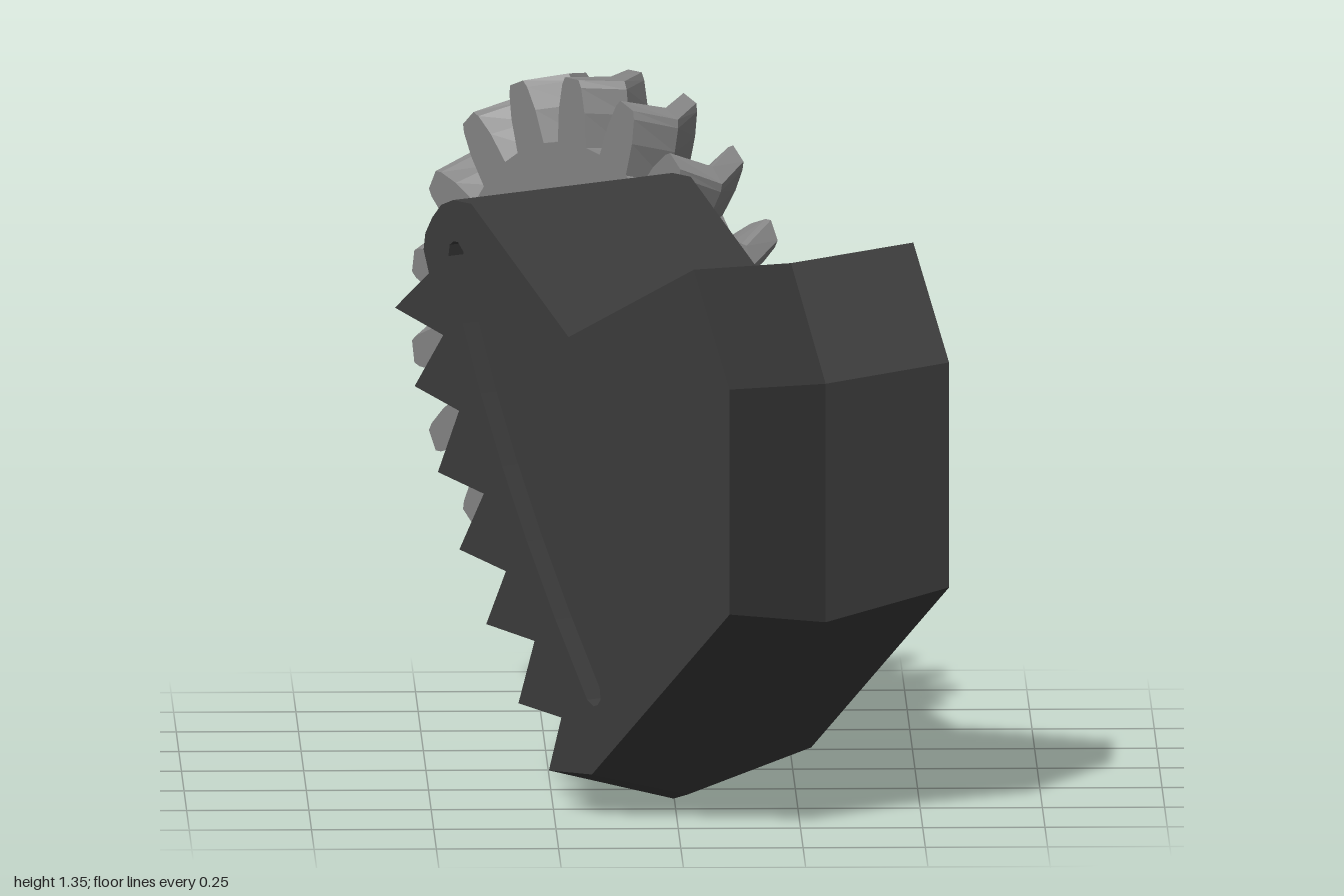
import * as THREE from 'three';

const V = (x, y) => new THREE.Vector2(x, y);

// Regular ring of points around (x, y)
function ring(x, y, r, n) {
  return Array.from({ length: n }, (_, i) => {
    const a = (i / n) * Math.PI * 2;
    return V(x + r * Math.cos(a), y + r * Math.sin(a));
  });
}

// Flat-shaded solid lofted through matching outlines along z, with straight through holes.
// Outlines run counter-clockwise, depths ascend.
function loft(name, outlines, depths, holes, material) {
  const pos = [];
  const put = (p, z) => pos.push(p.x, p.y, z);
  const wall = (a, za, b, zb) => {
    for (let i = 0; i < a.length; i++) {
      const j = (i + 1) % a.length;
      put(a[i], za); put(a[j], za); put(b[j], zb);
      put(a[i], za); put(b[j], zb); put(b[i], zb);
    }
  };
  for (let s = 0; s + 1 < outlines.length; s++) {
    wall(outlines[s], depths[s], outlines[s + 1], depths[s + 1]);
  }
  const last = outlines.length - 1;
  const inner = holes.map((h) => h.slice().reverse());
  inner.forEach((h) => wall(h, depths[0], h, depths[last]));
  // End caps
  for (const [s, flip] of [[0, true], [last, false]]) {
    const all = [outlines[s], ...inner].flat();
    for (const [a, b, c] of THREE.ShapeUtils.triangulateShape(outlines[s].slice(), inner)) {
      for (const k of flip ? [a, c, b] : [a, b, c]) put(all[k], depths[s]);
    }
  }
  const g = new THREE.BufferGeometry();
  g.setAttribute('position', new THREE.Float32BufferAttribute(pos, 3));
  g.computeVertexNormals();
  const mesh = new THREE.Mesh(g, material);
  mesh.name = name;
  return mesh;
}

// Jaw outline; mid = true gives the middle section where the chevrons peak
function jawOutline(mid) {
  const front = mid
    ? [[0.345, 0.015], [0.806, 0.431], [0.806, 0.925], [0.69, 1.16]]
    : [[0.39, 0.09], [0.852, 0.481], [0.852, 0.947], [0.732, 1.18]];
  const top = [[0.312, 0.986], [-0.014, 1.22], [-0.075, 1.22], [-0.115, 1.205],
    [-0.145, 1.175], [-0.168, 1.14], [-0.174, 1.105]];
  const teeth = [[-0.156, 1.058], [-0.27, 0.972], [-0.108, 0.936], [-0.204, 0.818],
    [-0.055, 0.786], [-0.126, 0.65], [0.028, 0.625], [-0.054, 0.499], [0.102, 0.474],
    [0.036, 0.356], [0.198, 0.342], [0.144, 0.206], [0.288, 0.195], [0.246, 0.08]];
  const slid = teeth.map(([x, y]) => (mid ? [x + 0.05, y - 0.08] : [x, y]));
  return [...front, ...top, ...slid].map(([x, y]) => V(x, y));
}

// Curved slot with round ends
function slotOutline() {
  const path = new THREE.QuadraticBezierCurve(V(-0.066, 1.11), V(0.06, 0.72), V(0.395, 0.258));
  const r = 0.026, n = 6, right = [], left = [];
  for (let i = 0; i <= n; i++) {
    const p = path.getPoint(i / n), t = path.getTangent(i / n);
    left.push(V(p.x + t.y * r, p.y - t.x * r));
    right.push(V(p.x - t.y * r, p.y + t.x * r));
  }
  const cap = (t, sign) => {
    const p = path.getPoint(t), d = path.getTangent(t);
    return [-0.6, 0, 0.6].map((k) => {
      const c = Math.cos(k) * r * sign, s = Math.sin(k) * r * sign;
      return V(p.x + d.x * c - d.y * s, p.y + d.y * c + d.x * s);
    });
  };
  return [...left, ...cap(1, 1), ...right.reverse(), ...cap(0, -1)];
}

const GX = -0.496, GY = 0.815;

// Gear outline turned by a twist angle
function gearOutline(twist) {
  const n = 18, pts = [];
  const tooth = [[0.405, -0.115], [0.475, -0.09], [0.525, -0.06], [0.54, -0.042],
    [0.54, 0.042], [0.525, 0.06], [0.475, 0.09], [0.405, 0.115]];
  for (let i = 0; i < n; i++) {
    for (const [r, a] of tooth) {
      const b = Math.PI / 2 + twist + (i / n) * Math.PI * 2 + a;
      pts.push(V(GX + r * Math.cos(b), GY + r * Math.sin(b)));
    }
  }
  return pts;
}

export function createModel() {
  const darkGrey = new THREE.MeshStandardMaterial({ color: 0x3c3c3c });
  darkGrey.name = 'dark grey';
  const midGrey = new THREE.MeshStandardMaterial({ color: 0x868686 });
  midGrey.name = 'mid grey';

  const model = new THREE.Group();
  model.name = 'gearAndJaw';

  // Toothed jaw with a slot through its side
  const end = jawOutline(false);
  model.add(loft('jaw', [end, jawOutline(true), end], [-0.063, 0.22, 0.503], [slotOutline()], darkGrey));

  // Herringbone gear and its hub, sharing a bore and two pin holes
  const gear = new THREE.Group();
  gear.name = 'gear';
  const holes = [
    ring(GX, GY, 0.152, 14),
    ring(GX - 0.087, GY + 0.244, 0.037, 10),
    ring(GX + 0.087, GY + 0.244, 0.037, 10),
  ];
  const face = gearOutline(0);
  gear.add(loft('gearWheel', [face, gearOutline(-0.09), face], [-0.29, -0.2085, -0.127], holes, midGrey));
  const hub = ring(GX, GY, 0.305, 28);
  gear.add(loft('gearHub', [hub, hub], [-0.127, -0.07], holes, midGrey));
  model.add(gear);

  // Turn the assembly to its diagonal stance
  model.rotation.y = -0.936;
  return model;
}
